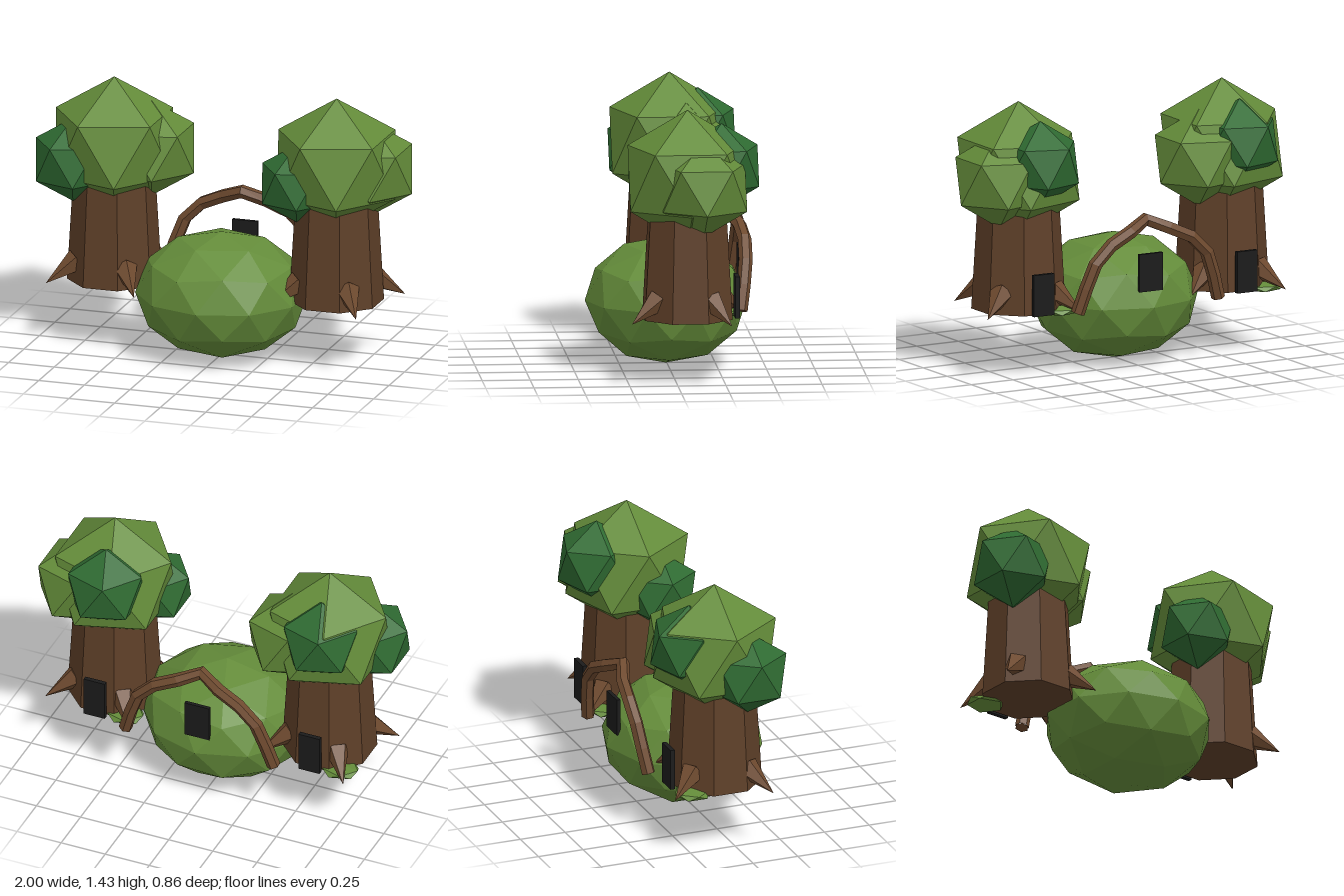
import * as THREE from 'three';

const material = (name, color) => {
  const m = new THREE.MeshStandardMaterial({ color });
  m.name = name;
  return m;
};

export function createModel() {
  const leaf = material('leafGreen', 0x648c3a);
  const darkLeaf = material('darkGreen', 0x2f6b32);
  const bark = material('bark', 0x5e3f28);
  const wood = material('lightWood', 0x6e4a2f);
  const black = material('black', 0x1b1b1b);

  const model = new THREE.Group();
  model.name = 'treesAndBush';

  // Faceted mesh helper
  const add = (parent, name, geometry, mat, x = 0, y = 0, z = 0) => {
    const g = geometry.index ? geometry.toNonIndexed() : geometry;
    g.computeVertexNormals();
    const mesh = new THREE.Mesh(g, mat);
    mesh.name = name;
    mesh.position.set(x, y, z);
    parent.add(mesh);
    return mesh;
  };

  // Icosahedral ball with a corner pointing straight up
  const tilt = Math.atan(2 / (1 + Math.sqrt(5)));
  const ball = (rx, ry, rz, detail = 0) =>
    new THREE.IcosahedronGeometry(1, detail).rotateZ(tilt).scale(rx, ry, rz);

  // Central bush and its dark plate at the back
  add(model, 'bush', ball(0.452, 0.333, 0.422, 1), leaf, 0, 0.336, 0.005);
  add(model, 'bushDoor', new THREE.BoxGeometry(0.14, 0.2, 0.02), black, 0, 0.52, -0.378);

  // Bent branch arching behind the bush
  const half = [[0.42, 0.34, -0.352], [0.37, 0.5, -0.375], [0.3, 0.645, -0.388], [0.13, 0.735, -0.375]];
  const path = [
    ...half.map(([x, y, z]) => new THREE.Vector3(-x, y, z)),
    new THREE.Vector3(0, 0.79, -0.325),
    ...half.slice().reverse().map((p) => new THREE.Vector3(...p)),
  ];
  const curve = new THREE.CatmullRomCurve3(path);
  add(model, 'archBranch', new THREE.TubeGeometry(curve, 10, 0.036, 6), wood);
  // Closed branch ends
  for (const [t, s] of [[0, -1], [1, 1]]) {
    const cap = add(model, 'archEnd', new THREE.CircleGeometry(0.036, 6), wood);
    const p = curve.getPoint(t);
    cap.position.copy(p);
    cap.lookAt(p.clone().addScaledVector(curve.getTangent(t), s));
  }

  // Trees: foliage entries are [x, y, z, radius, material] relative to the trunk axis
  const trees = [
    {
      name: 'rightTree', x: -0.61,
      foliage: [[0, 1.075, 0, 0.357, leaf], [0.18, 1.04, -0.075, 0.257, leaf],
        [-0.19, 0.995, 0.11, 0.225, darkLeaf], [-0.02, 1.12, -0.15, 0.225, darkLeaf]],
    },
    {
      name: 'leftTree', x: 0.608,
      foliage: [[0, 1.075, 0, 0.357, leaf], [0.157, 1.045, -0.075, 0.257, leaf],
        [-0.182, 0.985, 0.11, 0.21, darkLeaf], [-0.028, 1.13, -0.18, 0.225, darkLeaf]],
    },
  ];

  for (const t of trees) {
    const tree = new THREE.Group();
    tree.name = t.name;
    tree.position.set(t.x, 0, -0.06);
    model.add(tree);

    const trunk = new THREE.CylinderGeometry(0.208, 0.247, 0.66, 8).rotateY(Math.PI / 8);
    add(tree, 'trunk', trunk, bark, 0, 0.67, 0);

    for (const [x, y, z, r, mat] of t.foliage) add(tree, 'foliage', ball(r, r, r), mat, x, y, z);

    // Four pointed roots leaning outward and down
    for (let i = 0; i < 4; i++) {
      const a = THREE.MathUtils.degToRad(55.5 + i * 90);
      const from = new THREE.Vector3(Math.cos(a) * 0.2, 0.45, Math.sin(a) * 0.2);
      const to = new THREE.Vector3(Math.cos(a) * 0.37, 0.34, Math.sin(a) * 0.37);
      const dir = to.clone().sub(from);
      const root = add(tree, 'root', new THREE.ConeGeometry(0.066, dir.length(), 5), wood);
      root.position.copy(from).addScaledVector(dir, 0.5);
      root.quaternion.setFromUnitVectors(new THREE.Vector3(0, 1, 0), dir.normalize());
    }

    // Dark door at the back and a flat tuft beside it
    add(tree, 'door', new THREE.BoxGeometry(0.12, 0.22, 0.024), black, 0, 0.45, -0.257);
    add(tree, 'grassTuft', ball(0.11, 0.026, 0.1), leaf, -0.14, 0.341, -0.18);
  }

  return model;
}
